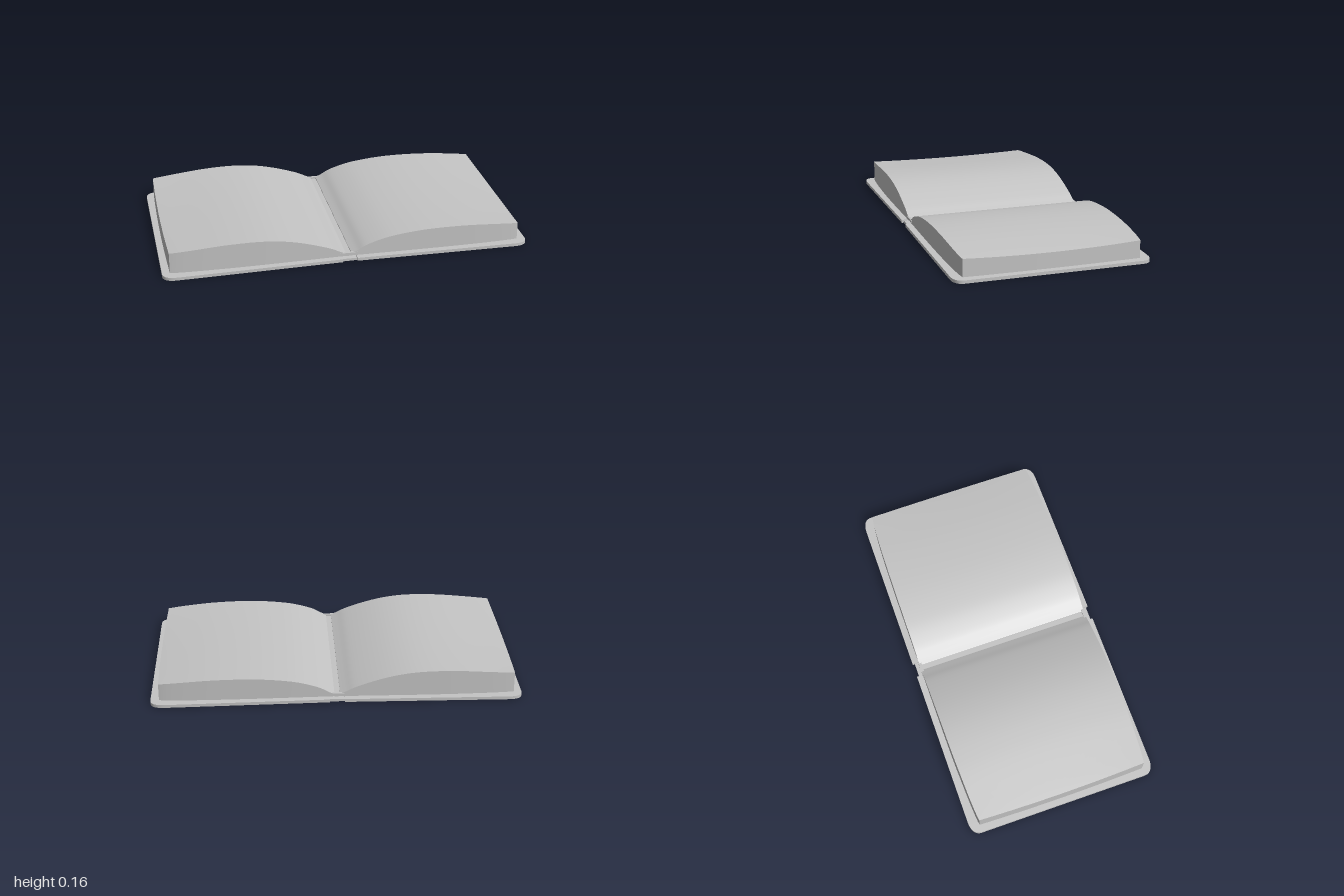
import * as THREE from 'three';
import { mergeGeometries, toCreasedNormals } from 'three/addons/utils/BufferGeometryUtils.js';

// Page-top profiles, from the gutter to the outer edge: [distance from spine, height]
const LEFT_TOP = [[0.015, 0.04], [0.05, 0.056], [0.1, 0.083], [0.2, 0.113], [0.3, 0.129],
  [0.42, 0.139], [0.55, 0.141], [0.7, 0.136], [0.85, 0.124], [0.962, 0.113]];
const RIGHT_TOP = [[0.015, 0.04], [0.05, 0.056], [0.1, 0.08], [0.2, 0.114], [0.3, 0.14],
  [0.4, 0.156], [0.5, 0.162], [0.6, 0.161], [0.7, 0.156], [0.85, 0.143], [0.966, 0.133]];

// Surface patch from a function of two parameters in 0..1
function patch(f, nu, nv, flip) {
  const pos = [], idx = [];
  for (let i = 0; i <= nu; i++) {
    for (let j = 0; j <= nv; j++) pos.push(...f(i / nu, j / nv));
  }
  for (let i = 0; i < nu; i++) {
    for (let j = 0; j < nv; j++) {
      const a = i * (nv + 1) + j, b = a + 1, c = a + nv + 1, d = c + 1;
      if (flip) idx.push(a, c, b, b, c, d);
      else idx.push(a, b, c, b, d, c);
    }
  }
  const g = new THREE.BufferGeometry();
  g.setAttribute('position', new THREE.Float32BufferAttribute(pos, 3));
  g.setIndex(idx);
  g.computeVertexNormals();
  return g;
}

// Half of the open page stack; side is +1 for +x, -1 for -x
function pageBlock(side, profile) {
  const curve = new THREE.SplineCurve(profile.map(p => new THREE.Vector2(...p)));
  const coverTop = x => 0.017 + 0.01 * (1 - x);
  const point = (u, v, h) => {
    const p = curve.getPoint(u);
    const t = v * 2 - 1;
    const halfDepth = 0.497 - 0.022 * Math.pow(u, 6);
    const x = p.x - 0.008 * t * t * Math.pow(u, 4);
    const top = p.y - 0.011 * (1 - t * t) * u * u * u;
    return [side * x, THREE.MathUtils.lerp(coverTop(x), top, h), t * halfDepth];
  };
  const flip = side < 0;
  return mergeGeometries([
    patch((u, v) => point(u, v, 1), 36, 16, flip),
    patch((u, v) => point(u, v, 0), 36, 16, !flip),
    patch((u, h) => point(u, 1, h), 36, 1, !flip),
    patch((u, h) => point(u, 0, h), 36, 1, flip),
    patch((v, h) => point(1, v, h), 16, 1, flip),
    patch((v, h) => point(0, v, h), 16, 1, !flip),
  ]);
}

// Cover board with rounded outer corners, rising slightly toward the spine
function coverBoard(side) {
  const inner = 0.04, cx = 0.92, cz = 0.475, d = 0.532;
  const s = new THREE.Shape();
  s.moveTo(inner, -d);
  s.lineTo(cx, -d);
  s.bezierCurveTo(0.97, -d, 1, -0.515, 1, -cz);
  s.lineTo(1, cz);
  s.bezierCurveTo(1, 0.515, 0.97, d, cx, d);
  s.lineTo(inner, d);
  s.closePath();
  const g = new THREE.ExtrudeGeometry(s, { depth: 0.017, bevelEnabled: false, curveSegments: 8 });
  g.rotateX(-Math.PI / 2);
  const p = g.attributes.position;
  for (let i = 0; i < p.count; i++) p.setY(i, p.getY(i) + 0.01 * (1 - p.getX(i)));
  if (side < 0) g.rotateY(Math.PI);
  return toCreasedNormals(g, 0.6);
}

export function createModel() {
  const grey = new THREE.MeshStandardMaterial({ color: 0xc4c4c4 });
  grey.name = 'plain grey';
  const book = new THREE.Group();
  book.name = 'openBook';
  const add = (name, geometry, x = 0, y = 0, z = 0) => {
    const mesh = new THREE.Mesh(geometry, grey);
    mesh.name = name;
    mesh.position.set(x, y, z);
    book.add(mesh);
  };

  add('leftCover', coverBoard(1));
  add('rightCover', coverBoard(-1));
  add('leftPages', pageBlock(1, LEFT_TOP));
  add('rightPages', pageBlock(-1, RIGHT_TOP));

  // Spine strip between the boards and the gutter above it
  add('spine', new THREE.BoxGeometry(0.084, 0.014, 1.04), 0, 0.015, 0);
  add('gutter', new THREE.BoxGeometry(0.032, 0.015, 0.98), 0, 0.028, 0);

  // Headbands at both ends of the spine
  for (const z of [-0.492, 0.492]) {
    add('headband', new THREE.BoxGeometry(0.1, 0.012, 0.016), 0, 0.039, z);
  }
  return book;
}
